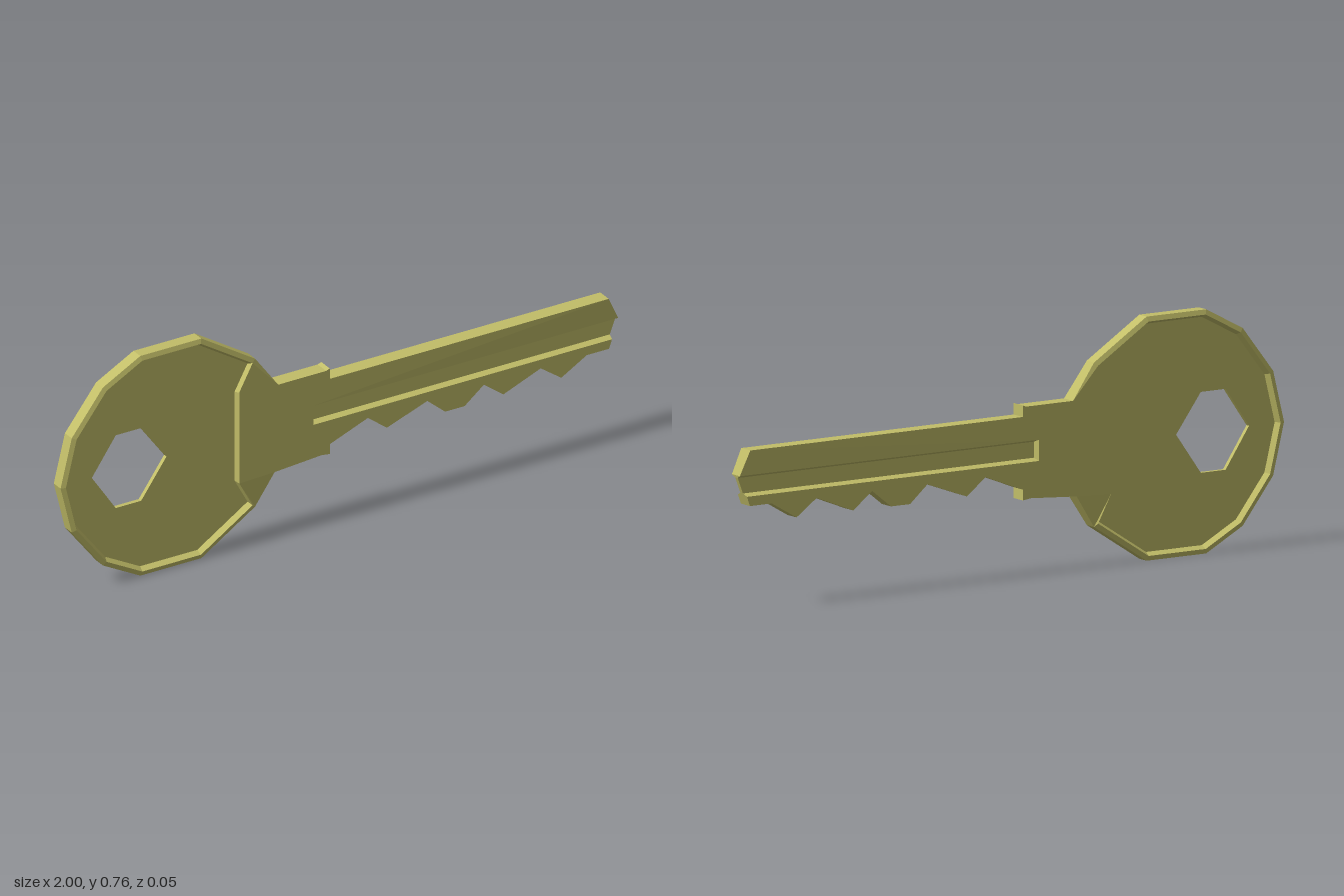
import * as THREE from 'three';

const FACE = 0.025;  // half thickness of the blade
const EDGE = 0.02;   // half thickness at the bow's outer edge
const WEB = 0.007;   // half thickness inside the recess and groove

export function createModel() {
  const key = new THREE.Group();
  key.name = 'key';
  const material = new THREE.MeshStandardMaterial({ color: 0xc2be68, flatShading: true });

  const at = (points, z) => points.map(([x, y]) => [x, y, z]);
  const flip = ([x, y, z]) => [x, y, -z];

  // Triangles on the front, repeated mirrored on the back
  const both = (out, a, b, c) => out.push(a, b, c, flip(a), flip(c), flip(b));

  // Flat face inside a counter-clockwise contour, with optional holes
  function fill(out, contour, holes = []) {
    const v2 = (loop) => loop.map(([x, y]) => new THREE.Vector2(x, y));
    const all = [contour, ...holes].flat();
    for (const [a, b, c] of THREE.ShapeUtils.triangulateShape(v2(contour), holes.map(v2))) {
      both(out, all[a], all[b], all[c]);
    }
  }

  // Sloped band from an outer path to an inner path
  function bridge(out, outer, inner, closed) {
    const n = outer.length;
    for (let i = 0; i < (closed ? n : n - 1); i++) {
      const j = (i + 1) % n;
      both(out, outer[i], outer[j], inner[j]);
      both(out, outer[i], inner[j], inner[i]);
    }
  }

  // Edge wall from front to back along a closed loop
  function wall(out, loop) {
    loop.forEach((a, i) => {
      const b = loop[(i + 1) % loop.length];
      out.push(a, flip(a), flip(b), a, flip(b), b);
    });
  }

  function addPart(name, triangles) {
    const geometry = new THREE.BufferGeometry();
    geometry.setAttribute('position', new THREE.Float32BufferAttribute(triangles.flat(), 3));
    geometry.computeVertexNormals();
    const mesh = new THREE.Mesh(geometry, material);
    mesh.name = name;
    key.add(mesh);
  }

  // Bow outline from the top shoulder round to the bottom shoulder
  const arc = [
    [-0.302, 0.637], [-0.495, 0.76], [-0.714, 0.76], [-0.848, 0.688], [-0.96, 0.543], [-1, 0.38],
    [-0.96, 0.217], [-0.848, 0.072], [-0.714, 0], [-0.495, 0], [-0.302, 0.125],
  ];
  const neckEdge = [[-0.352, 0.217], [-0.352, 0.545]];
  const shrink = (points, s) => points.map(([x, y]) => [-0.6 + (x + 0.6) * s, 0.38 + (y - 0.38) * s]);
  const bowEdge = at(arc, EDGE);
  const crest = at(shrink([...arc, ...neckEdge], 0.96), FACE);
  const recess = at(shrink([...arc, ...neckEdge], 0.935), WEB);

  // Keyring hole, clockwise
  const hole = at([
    [-0.88, 0.378], [-0.794, 0.502], [-0.703, 0.502], [-0.612, 0.378], [-0.703, 0.25], [-0.794, 0.25],
  ], WEB);

  // Neck underside, shoulder stop and teeth, running to the tip
  const lower = at([
    [-0.235, 0.228], [-0.067, 0.24], [-0.037, 0.236], [-0.037, 0.27], [0.1, 0.323], [0.168, 0.27],
    [0.313, 0.323], [0.377, 0.268], [0.447, 0.268], [0.516, 0.323], [0.586, 0.27], [0.72, 0.323],
    [0.794, 0.27], [0.885, 0.323], [0.965, 0.323],
  ], FACE);
  // Blade top and neck top, running back to the bow
  const upper = at([
    [0.964, 0.496], [-0.037, 0.496], [-0.037, 0.532], [-0.05, 0.527], [-0.222, 0.527],
  ], FACE);

  // Groove, open at the tip
  const lip = [[1, 0.419, 0.022], [-0.096, 0.419, FACE], [-0.096, 0.353, FACE], [0.976, 0.353, FACE]];
  const groove = at([[0.998, 0.411], [-0.09, 0.411], [-0.09, 0.361], [0.979, 0.361]], WEB);

  // Bow rim: outer bevel and recess wall
  const rim = [];
  bridge(rim, bowEdge, crest.slice(0, arc.length), false);
  bridge(rim, crest, recess, true);
  addPart('bowRim', rim);

  // Thin bow web pierced by the keyring hole
  const web = [];
  fill(web, recess, [hole]);
  wall(web, hole);
  addPart('bowWeb', web);

  // Neck and blade faces
  const [neckBottom, neckTop] = crest.slice(-2);
  const blade = [];
  fill(blade, [
    bowEdge.at(-1), ...lower, lip[3], lip[2], lip[1], lip[0], ...upper,
    bowEdge[0], crest[0], neckTop, neckBottom, crest[arc.length - 1],
  ]);
  addPart('blade', blade);

  // Lengthwise groove on each side
  const channel = [];
  bridge(channel, lip, groove, false);
  fill(channel, groove);
  addPart('groove', channel);

  // Edge all the way round, teeth included
  const edge = [];
  wall(edge, [...bowEdge, ...lower, lip[3], groove[3], groove[0], lip[0], ...upper]);
  addPart('outerEdge', edge);

  return key;
}
